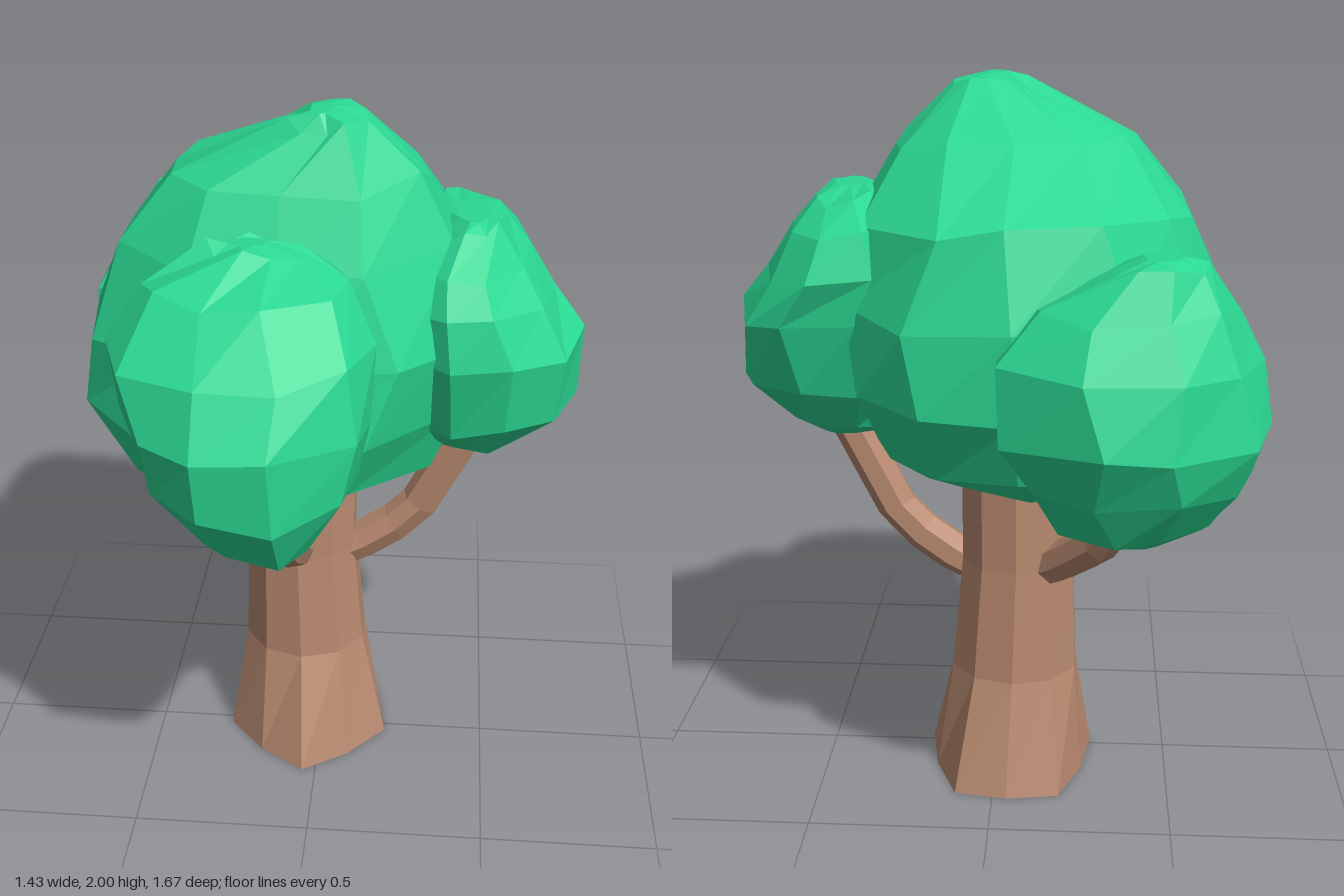
import * as THREE from 'three';

const leafMaterial = new THREE.MeshStandardMaterial({ color: 0x2bd893, flatShading: true });
const barkMaterial = new THREE.MeshStandardMaterial({ color: 0xb98a70, flatShading: true });

// Small seeded generator, returns values in -1..1
function seeded(seed) {
  let s = seed;
  return () => {
    s = (s * 16807) % 2147483647;
    return (s / 2147483647) * 2 - 1;
  };
}

// Closed faceted skin through oval rings, listed bottom to top as [y, xMin, xMax, zMin, zMax].
// shape(ring, column) gives { scale, turn, lift } to roughen each corner.
function loft(rings, sides, shape) {
  const points = [];
  const index = [];
  rings.forEach(([y, x0, x1, z0, z1], r) => {
    for (let c = 0; c < sides; c++) {
      const { scale, turn, lift } = shape(r, c);
      const a = ((c + turn) / sides) * Math.PI * 2;
      points.push(
        (x0 + x1) / 2 + Math.cos(a) * scale * (x1 - x0) / 2,
        y + lift,
        (z0 + z1) / 2 + Math.sin(a) * scale * (z1 - z0) / 2
      );
    }
  });
  for (let r = 0; r < rings.length - 1; r++) {
    for (let c = 0; c < sides; c++) {
      const d = (c + 1) % sides;
      const a = r * sides + c, b = r * sides + d;
      index.push(a, a + sides, b, b, a + sides, b + sides);
    }
  }
  // End caps
  const bottom = points.length / 3;
  for (const [y, x0, x1, z0, z1] of [rings[0], rings[rings.length - 1]]) {
    points.push((x0 + x1) / 2, y, (z0 + z1) / 2);
  }
  const last = (rings.length - 1) * sides;
  for (let c = 0; c < sides; c++) {
    const d = (c + 1) % sides;
    index.push(bottom, c, d, bottom + 1, last + d, last + c);
  }
  const geometry = new THREE.BufferGeometry();
  geometry.setAttribute('position', new THREE.Float32BufferAttribute(points, 3));
  geometry.setIndex(index);
  geometry.computeVertexNormals();
  return geometry;
}

// Leaf mass; bulge holds outward factors for eight directions, from +x by way of +z
function foliage(name, seed, sides, bulge, rings) {
  const random = seeded(seed);
  const mesh = new THREE.Mesh(
    loft(rings, sides, (r, c) => {
      const t = r / (rings.length - 1);
      const isEnd = t === 0 || t === 1;
      const turn = random() * 0.18;
      const direction = (((c + turn) / sides) * 8 + 8) % 8;
      const i = Math.floor(direction);
      const factor = THREE.MathUtils.lerp(bulge[i], bulge[(i + 1) % 8], direction - i);
      const weight = Math.sqrt(Math.max(0, Math.sin(Math.PI * t)));
      return {
        scale: 1.01 + (factor - 1) * weight + random() * 0.03,
        turn,
        lift: isEnd ? 0 : random() * 0.02,
      };
    }),
    leafMaterial
  );
  mesh.name = name;
  return mesh;
}

// Bent limb with its ends buried in trunk and leaves
function branch(name, corners) {
  const path = new THREE.CurvePath();
  const p = corners.map((c) => new THREE.Vector3(...c));
  for (let i = 0; i < p.length - 1; i++) path.add(new THREE.LineCurve3(p[i], p[i + 1]));
  const mesh = new THREE.Mesh(new THREE.TubeGeometry(path, 6, 0.058, 7), barkMaterial);
  mesh.name = name;
  return mesh;
}

export function createModel() {
  const tree = new THREE.Group();
  tree.name = 'tree';

  // Trunk with a flared, scalloped foot
  const trunk = new THREE.Mesh(
    loft(
      [
        [0, -0.28, 0.2, -0.36, 0.23],
        [0.32, -0.235, 0.13, -0.255, 0.105],
        [0.65, -0.225, 0.1, -0.24, 0.09],
        [1.05, -0.225, 0.1, -0.24, 0.09],
      ],
      10,
      (r, c) => ({ scale: r === 0 ? (c % 2 ? 0.93 : 1.05) : 1.02, turn: 0.5, lift: 0 })
    ),
    barkMaterial
  );
  trunk.name = 'trunk';
  tree.add(trunk);

  // Branches
  tree.add(
    branch('frontBranch', [[-0.07, 0.66, 0.02], [-0.075, 0.72, 0.14], [-0.09, 0.82, 0.27], [-0.12, 1.08, 0.45]]),
    branch('leftBranch', [[0.03, 0.6, -0.065], [0.1, 0.63, -0.065], [0.27, 0.75, -0.06], [0.44, 1.08, -0.05]]),
    branch('backRightBranch', [[-0.13, 0.64, -0.15], [-0.2, 0.69, -0.22], [-0.3, 0.79, -0.32], [-0.4, 1.0, -0.43]])
  );

  // Leaf masses
  tree.add(
    foliage('mainCrown', 41, 12, [1, 1.18, 1, 1.2, 1.02, 0.92, 1, 1.12], [
      [0.88, -0.3, 0.1, -0.2, 0.1],
      [0.92, -0.42, 0.2, -0.36, 0.2],
      [1.01, -0.52, 0.32, -0.5, 0.34],
      [1.2, -0.62, 0.4, -0.6, 0.42],
      [1.42, -0.61, 0.4, -0.61, 0.41],
      [1.65, -0.52, 0.36, -0.54, 0.34],
      [1.83, -0.38, 0.27, -0.26, 0.26],
      [1.97, -0.08, 0.13, -0.04, 0.18],
      [2.0, -0.02, 0.04, 0.04, 0.15],
    ]),
    foliage('frontCrown', 77, 10, [1, 1.08, 1.02, 1, 1, 1, 1, 1], [
      [0.97, -0.18, -0.02, 0.42, 0.62],
      [1.03, -0.27, 0.05, 0.3, 0.72],
      [1.18, -0.4, 0.13, 0.22, 0.82],
      [1.35, -0.45, 0.16, 0.2, 0.82],
      [1.52, -0.5, 0.17, 0.21, 0.75],
      [1.66, -0.4, 0.1, 0.26, 0.6],
      [1.73, -0.25, 0.0, 0.32, 0.44],
      [1.74, -0.2, -0.1, 0.34, 0.4],
    ]),
    foliage('leftCrown', 123, 10, [1, 0.98, 1, 1, 1, 1, 1, 1.02], [
      [1.01, 0.35, 0.5, -0.1, 0.02],
      [1.06, 0.25, 0.58, -0.22, 0.13],
      [1.18, 0.18, 0.71, -0.34, 0.28],
      [1.37, 0.15, 0.72, -0.4, 0.33],
      [1.5, 0.15, 0.64, -0.42, 0.31],
      [1.61, 0.2, 0.56, -0.37, 0.25],
      [1.69, 0.31, 0.49, -0.25, 0.14],
      [1.71, 0.36, 0.45, -0.1, 0.1],
    ]),
    foliage('backRightCrown', 209, 10, [1, 1, 1, 1.2, 1.03, 1, 1, 1.22], [
      [0.86, -0.45, -0.3, -0.56, -0.44],
      [0.92, -0.57, -0.18, -0.67, -0.3],
      [1.02, -0.66, -0.1, -0.75, -0.2],
      [1.17, -0.71, -0.04, -0.82, -0.13],
      [1.35, -0.69, -0.03, -0.79, -0.13],
      [1.48, -0.62, -0.12, -0.72, -0.21],
      [1.58, -0.54, -0.3, -0.65, -0.4],
      [1.61, -0.48, -0.38, -0.6, -0.48],
    ])
  );
  return tree;
}
